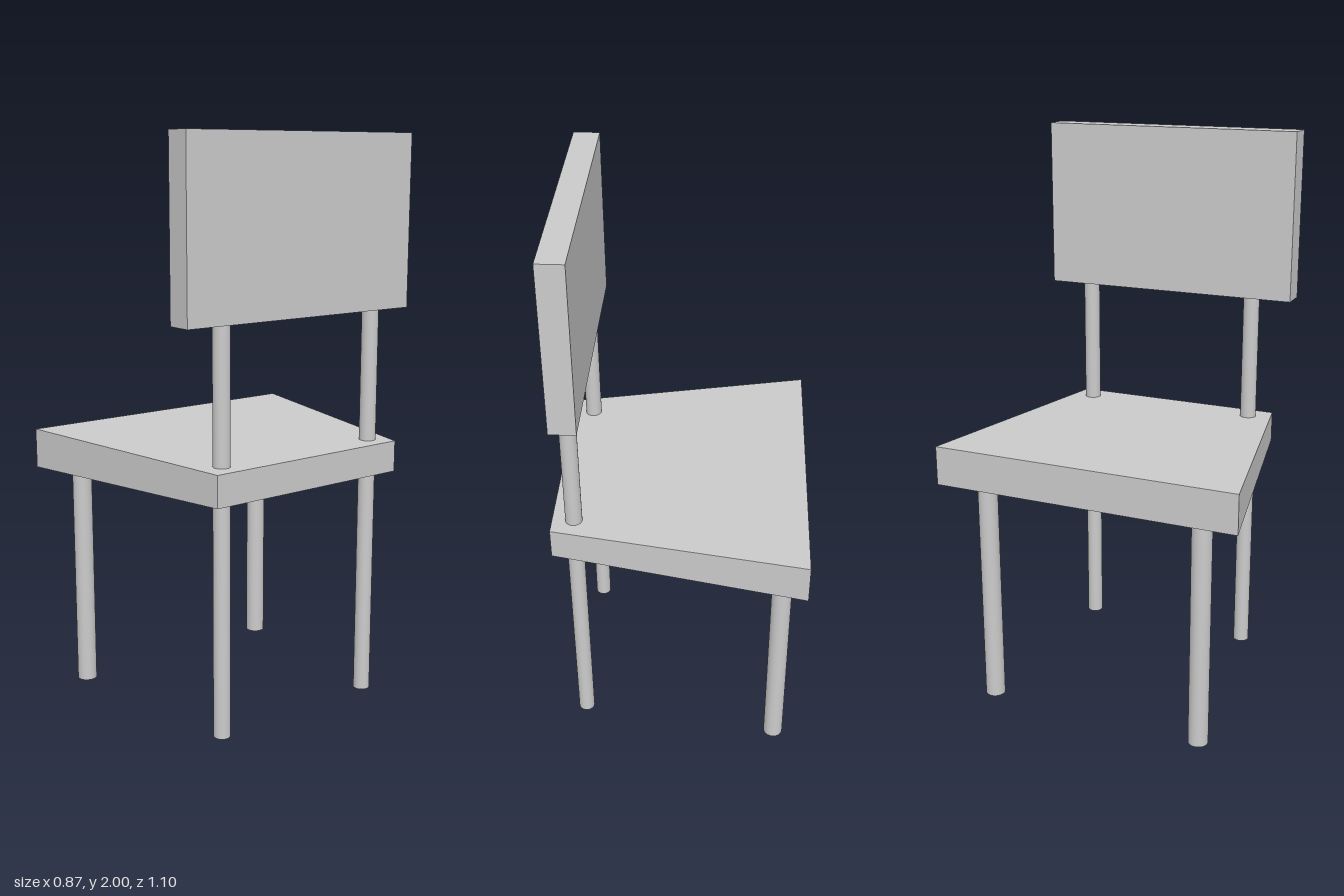
import * as THREE from 'three';

export function createModel() {
  const model = new THREE.Group();
  const material = new THREE.MeshStandardMaterial({ color: 0xcccccc });

  function add(name, geometry, x, y, z) {
    const mesh = new THREE.Mesh(geometry, material);
    mesh.name = name;
    mesh.position.set(x, y, z);
    model.add(mesh);
  }

  // Upright round bar between two heights
  function addBar(name, radius, x, z, bottom, top) {
    const geometry = new THREE.CylinderGeometry(radius, radius, top - bottom, 32);
    add(name, geometry, x, (bottom + top) / 2, z);
  }

  // Seat: a slab that narrows and thins towards the backrest (+x)
  const seat = new THREE.BoxGeometry(0.87, 0.14, 1.1);
  const corners = seat.attributes.position;
  for (let i = 0; i < corners.count; i++) {
    if (corners.getX(i) > 0) {
      corners.setY(i, corners.getY(i) * 0.78);
      corners.setZ(i, corners.getZ(i) * 0.704);
    }
  }
  const flatSeat = seat.toNonIndexed();
  flatSeat.computeVertexNormals();
  add('seat', flatSeat, 0, 0.896, 0);

  // Legs under the wide edge of the seat
  addBar('seatLegLeft', 0.035, -0.365, 0.405, 0, 0.87);
  addBar('seatLegRight', 0.035, -0.355, -0.397, 0, 0.87);

  // Posts that pass through the seat and carry the backrest
  for (const [name, z] of [['backPostLeft', 0.315], ['backPostRight', -0.325]]) {
    addBar(name, 0.029, 0.36, z, 0.02, 1.45);
  }

  // Backrest panel
  add('backrest', new THREE.BoxGeometry(0.09, 0.59, 0.935), 0.355, 1.705, 0.006);

  return model;
}
